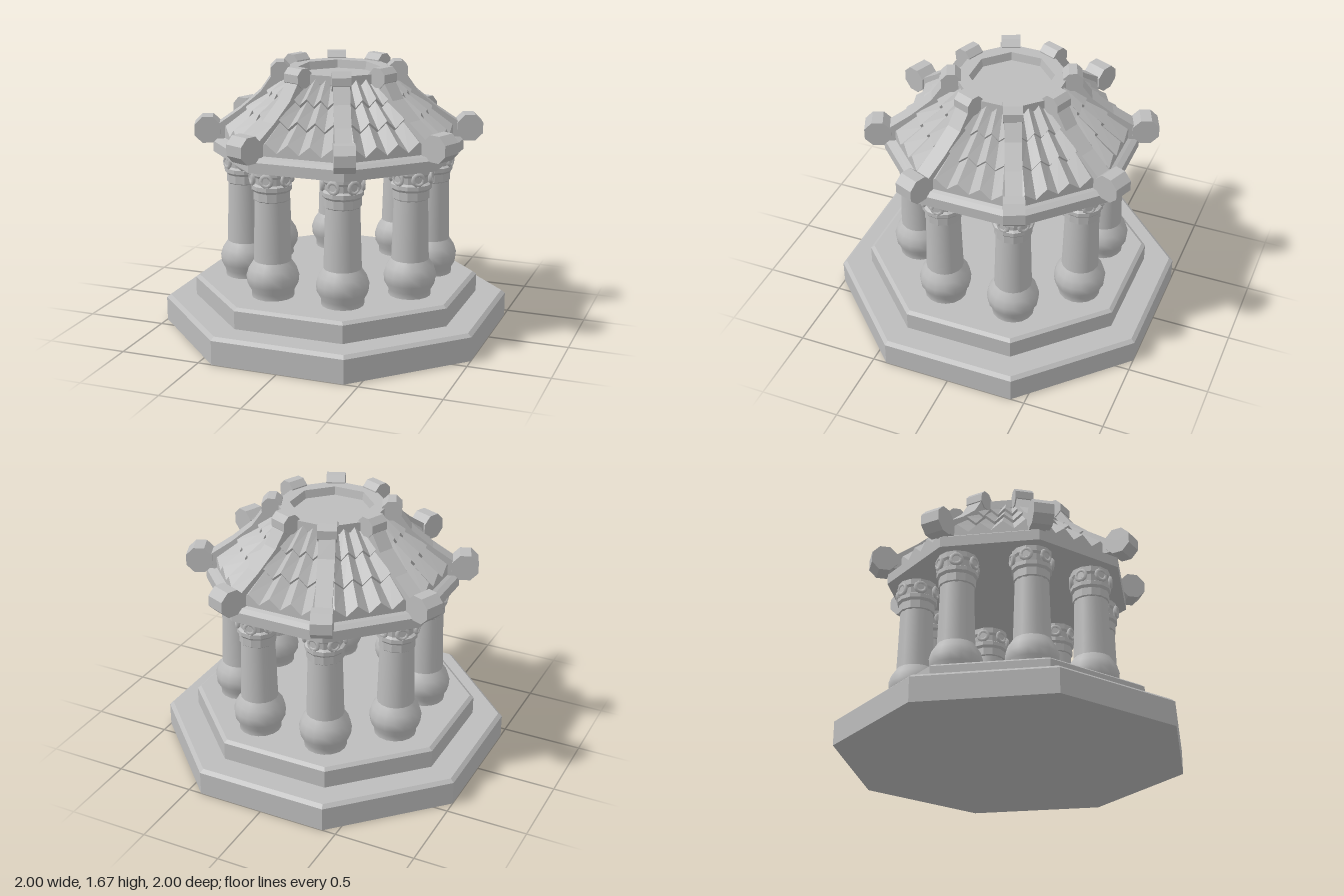
import * as THREE from 'three';

const STEP = Math.PI / 4;
const HALF = Math.PI / 8;
const stone = new THREE.MeshStandardMaterial({ color: 0xbcbcbc, side: THREE.DoubleSide });
stone.name = 'grey stone';

function flat(geometry) {
  const g = geometry.index ? geometry.toNonIndexed() : geometry;
  g.computeVertexNormals();
  return g;
}

function mesh(name, geometry) {
  const m = new THREE.Mesh(geometry, stone);
  m.name = name;
  return m;
}

const toPoints = (list) => list.map(([x, y]) => new THREE.Vector2(x, y));

// Octagonal solid from [distance to flat side, height] points
function octagon(name, profile) {
  const pts = profile.map(([a, y]) => [a / Math.cos(HALF), y]);
  return mesh(name, flat(new THREE.LatheGeometry(toPoints(pts), 8, HALF)));
}

// One pleated roof side facing +z, in three overlapping tile courses
function roofPanelGeometry() {
  const courses = [
    [[0.67, 1.245], [0.54, 1.35]],
    [[0.55, 1.365], [0.42, 1.465]],
    [[0.43, 1.48], [0.31, 1.585]],
  ];
  const rows = [[0.67, 1.18, 0], ...courses.flat().map(([a, y]) => [a, y, 0.028 * (0.35 + a)])];
  const strips = 8;
  const pos = [];
  const index = [];
  rows.forEach(([a, y, wave]) => {
    for (let i = 0; i <= strips; i++) {
      const x = (i / strips * 2 - 1) * a * Math.tan(HALF);
      pos.push(x, y + (i % 2 ? wave : -wave), a);
    }
  });
  for (let r = 0; r < rows.length - 1; r++) {
    for (let i = 0; i < strips; i++) {
      const p = r * (strips + 1) + i;
      const q = p + strips + 1;
      index.push(p, p + 1, q + 1, p, q + 1, q);
    }
  }
  const g = new THREE.BufferGeometry();
  g.setAttribute('position', new THREE.Float32BufferAttribute(pos, 3));
  g.setIndex(index);
  return flat(g);
}

// Curved corner beam along +x
function ridgeGeometry(width) {
  const shape = new THREE.Shape(toPoints([
    [0.82, 1.19], [0.82, 1.30], [0.74, 1.285], [0.61, 1.375], [0.48, 1.485],
    [0.40, 1.60], [0.34, 1.64], [0.30, 1.60], [0.34, 1.54], [0.46, 1.40], [0.70, 1.19],
  ]));
  const g = new THREE.ExtrudeGeometry(shape, { depth: width, bevelEnabled: false });
  return g.translate(0, 0, -width / 2);
}

function drumGeometry(radius, width) {
  return flat(new THREE.CylinderGeometry(radius, radius, width, 8).rotateY(HALF).rotateX(Math.PI / 2));
}

function makeColumn() {
  const column = new THREE.Group();
  column.name = 'column';
  const profile = (name, list) => column.add(mesh(name, new THREE.LatheGeometry(toPoints(list), 16)));
  // Swollen foot
  profile('columnBase', [
    [0.13, 0.30], [0.13, 0.335], [0.155, 0.38], [0.16, 0.43], [0.145, 0.48], [0.118, 0.52], [0.108, 0.54],
  ]);
  profile('columnShaft', [[0.115, 0.52], [0.112, 0.60], [0.103, 0.92]]);
  // Collar and bell of the capital
  column.add(mesh('columnCollar', flat(new THREE.LatheGeometry(toPoints([
    [0.1, 0.90], [0.112, 0.91], [0.112, 0.96], [0.125, 0.975], [0.125, 1.0], [0.108, 1.01],
    [0.112, 1.05], [0.122, 1.065], [0.122, 1.11], [0, 1.11],
  ]), 12))));
  // Scrolls round the capital
  for (let i = 0; i < 6; i++) {
    const arm = new THREE.Group();
    arm.name = 'capitalScroll';
    const curl = mesh('scrollCurl', new THREE.TorusGeometry(0.032, 0.013, 5, 10));
    const heart = mesh('scrollHeart', flat(new THREE.CylinderGeometry(0.022, 0.022, 0.03, 8).rotateX(Math.PI / 2)));
    curl.position.set(0, 1.042, 0.12);
    heart.position.set(0, 1.042, 0.112);
    arm.add(curl, heart);
    arm.rotation.y = i * Math.PI / 3;
    column.add(arm);
  }
  return column;
}

export function createModel() {
  const model = new THREE.Group();
  model.name = 'pavilion';

  // Stepped platform with chamfered edges
  model.add(octagon('lowerStep', [[0, 0], [1, 0], [1, 0.15], [0.977, 0.17], [0, 0.17]]));
  model.add(octagon('upperStep', [[0.825, 0.165], [0.825, 0.283], [0.803, 0.3], [0, 0.3]]));

  const upper = new THREE.Group();
  upper.name = 'columnsAndRoof';
  upper.position.set(0.005, 0, -0.026);
  model.add(upper);

  // Eave slab and ceiling
  upper.add(octagon('eave', [[0, 1.1], [0.72, 1.1], [0.72, 1.165], [0.69, 1.185], [0.66, 1.2], [0.6, 1.2]]));
  // Crown ring with sunken top
  upper.add(octagon('crown', [
    [0.28, 1.54], [0.315, 1.57], [0.315, 1.625], [0.235, 1.625], [0.225, 1.575], [0, 1.575],
  ]));

  const panel = roofPanelGeometry();
  const beam = ridgeGeometry(0.1);
  const lowerDrum = drumGeometry(0.087, 0.125);
  const upperDrum = drumGeometry(0.064, 0.115);
  for (let i = 0; i < 8; i++) {
    const side = mesh('roofPanel', panel);
    side.rotation.y = i * STEP;
    upper.add(side);

    // Corner: column below, beam with rolled ends above
    const corner = new THREE.Group();
    corner.name = 'corner';
    corner.rotation.y = HALF + i * STEP;
    const column = makeColumn();
    column.position.x = 0.588;
    const low = mesh('lowerRidgeRoll', lowerDrum);
    low.position.set(0.81, 1.248, 0);
    const high = mesh('upperRidgeRoll', upperDrum);
    high.position.set(0.36, 1.608, 0);
    corner.add(column, mesh('ridgeBeam', beam), low, high);
    upper.add(corner);
  }
  return model;
}
